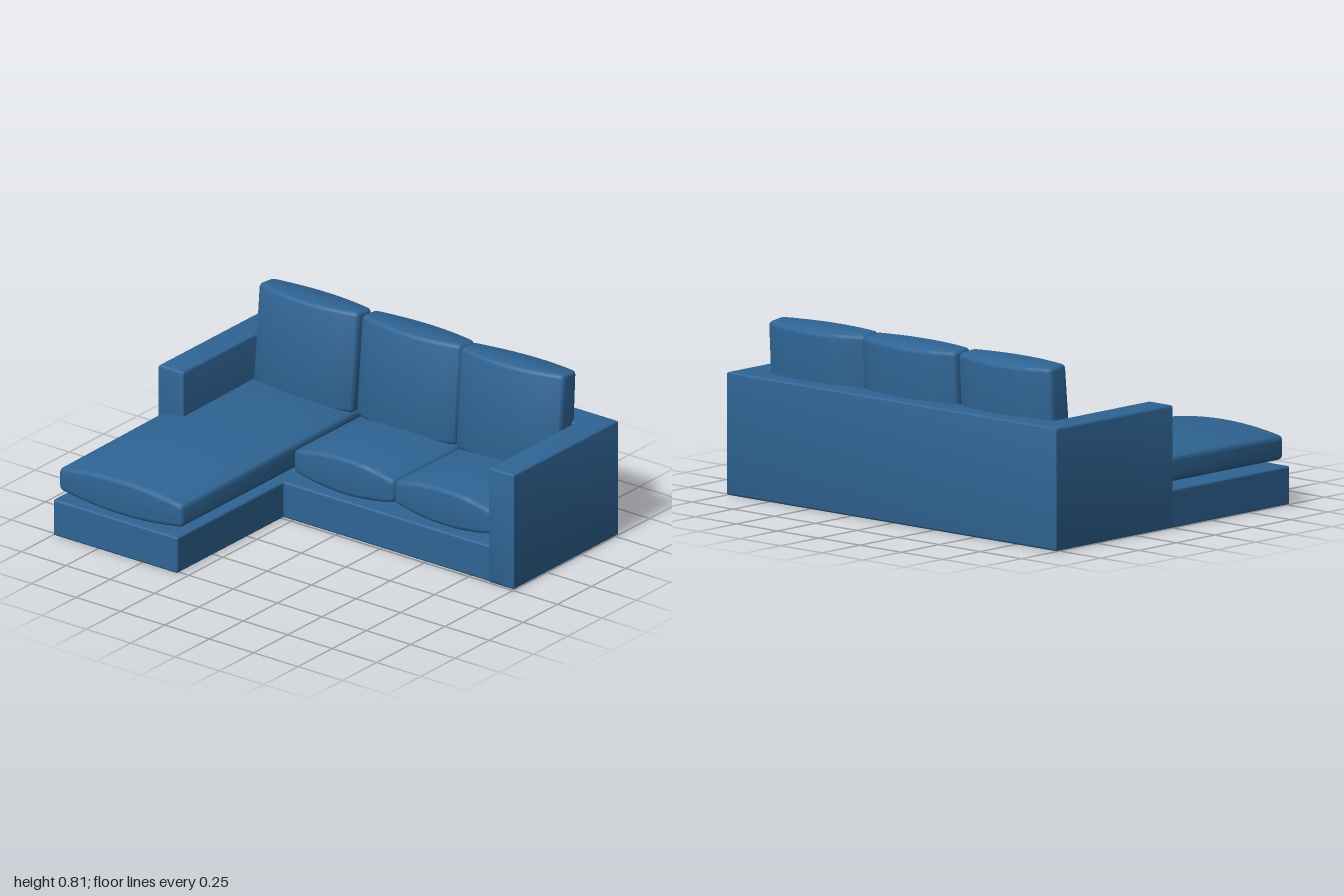
import * as THREE from 'three';
import { toCreasedNormals } from 'three/addons/utils/BufferGeometryUtils.js';
import { RoundedBoxGeometry } from 'three/addons/geometries/RoundedBoxGeometry.js';

const fabric = new THREE.MeshStandardMaterial({ color: 0x2f6494 });

function add(group, name, geometry) {
  const mesh = new THREE.Mesh(geometry, fabric);
  mesh.name = name;
  group.add(mesh);
  return mesh;
}

// Rounded block given by its lower and upper corners
function block(x0, y0, z0, x1, y1, z1) {
  return new RoundedBoxGeometry(x1 - x0, y1 - y0, z1 - z0, 2, 0.01)
    .translate((x0 + x1) / 2, (y0 + y1) / 2, (z0 + z1) / 2);
}

// Extrusion along z from 0 to length, with bevels kept inside the outline
function bevelled(shape, length, bevel, curveSegments = 12) {
  return new THREE.ExtrudeGeometry(shape, {
    depth: length - 2 * bevel, bevelThickness: bevel, bevelSize: bevel,
    bevelOffset: -bevel, bevelSegments: 3, curveSegments,
  }).translate(0, 0, bevel);
}

// Cushion with a lens-shaped section: thick in the middle, thinner at its sides
function cushion(width, thick, edge, length, bevel) {
  const w = width / 2, e = edge / 2, c = thick - e, r = 0.018;
  const s = new THREE.Shape();
  s.moveTo(-w + r, -e);
  s.quadraticCurveTo(0, -c, w - r, -e);
  s.quadraticCurveTo(w, -e + r * 0.3, w, -e + r * 1.6);
  s.lineTo(w, e - r * 1.6);
  s.quadraticCurveTo(w, e - r * 0.3, w - r, e);
  s.quadraticCurveTo(0, c, -w + r, e);
  s.quadraticCurveTo(-w, e - r * 0.3, -w, e - r * 1.6);
  s.lineTo(-w, -e + r * 1.6);
  s.quadraticCurveTo(-w, -e + r * 0.3, -w + r, -e);
  return bevelled(s, length, bevel);
}

// Apply a rule to every vertex
function deform(geometry, rule) {
  const p = geometry.attributes.position, v = new THREE.Vector3();
  for (let i = 0; i < p.count; i++) {
    rule(v.fromBufferAttribute(p, i));
    p.setXYZ(i, v.x, v.y, v.z);
  }
  return geometry;
}

export function createModel() {
  const sofa = new THREE.Group();
  sofa.name = 'cornerSofa';

  // Back and both arms as one U-shaped frame (shape y becomes -z)
  const u = new THREE.Shape([
    [-1, 0.005], [-0.86, 0.005], [-0.86, 0.63], [0.86, 0.63],
    [0.86, 0.005], [1, 0.005], [1, 0.77], [-1, 0.77],
  ].map(([x, y]) => new THREE.Vector2(x, y)));
  add(sofa, 'backAndArms',
    toCreasedNormals(bevelled(u, 0.56, 0.01).rotateX(-Math.PI / 2), 0.7));

  // Plinths
  add(sofa, 'seatBase', block(-0.95, 0, -0.7, 0.9, 0.175, -0.01));
  add(sofa, 'chaiseBase', block(-1, 0, -0.2, -0.3, 0.175, 0.77));

  // Chaise cushion, rising slightly toward the back
  const chaise = cushion(0.695, 0.175, 0.115, 1.36, 0.02).translate(-0.6485, 0.265, -0.625);
  deform(chaise, (v) => {
    if (v.y > 0.265) v.y += 0.01 * (0.37 - v.z);
  });
  add(sofa, 'chaiseCushion', toCreasedNormals(chaise, 0.6));

  // Two seat cushions
  [[0.005, 0], [0.572, 0.02]].forEach(([x, turn], i) => {
    const seat = add(sofa, `seatCushion${i + 1}`,
      toCreasedNormals(cushion(0.565, 0.18, 0.115, 0.58, 0.02).translate(0, 0, -0.29), 0.6));
    seat.position.set(x, 0.268, -0.34);
    seat.rotation.y = -turn * 0.5;
  });

  // Three back cushions, leaning back and thinning toward the top
  [[-0.58, 0], [0, 0], [0.567, 0.05]].forEach(([x, turn], i) => {
    const geometry = cushion(0.56, 0.215, 0.13, 0.475, 0.018).rotateX(-Math.PI / 2);
    deform(geometry, (v) => {
      const t = Math.max(0, (v.y - 0.23) / 0.245);
      v.z = v.z * (1 - 0.14 * t) - 0.035 * t;
      // Top slopes down toward the rear
      if (v.y > 0.4) v.y += Math.min(0, (v.z + 0.035) * 0.2);
    });
    const back = add(sofa, `backCushion${i + 1}`, toCreasedNormals(geometry, 0.6));
    back.position.set(x, 0.33, -0.572);
    back.rotation.y = turn;
  });

  return sofa;
}
